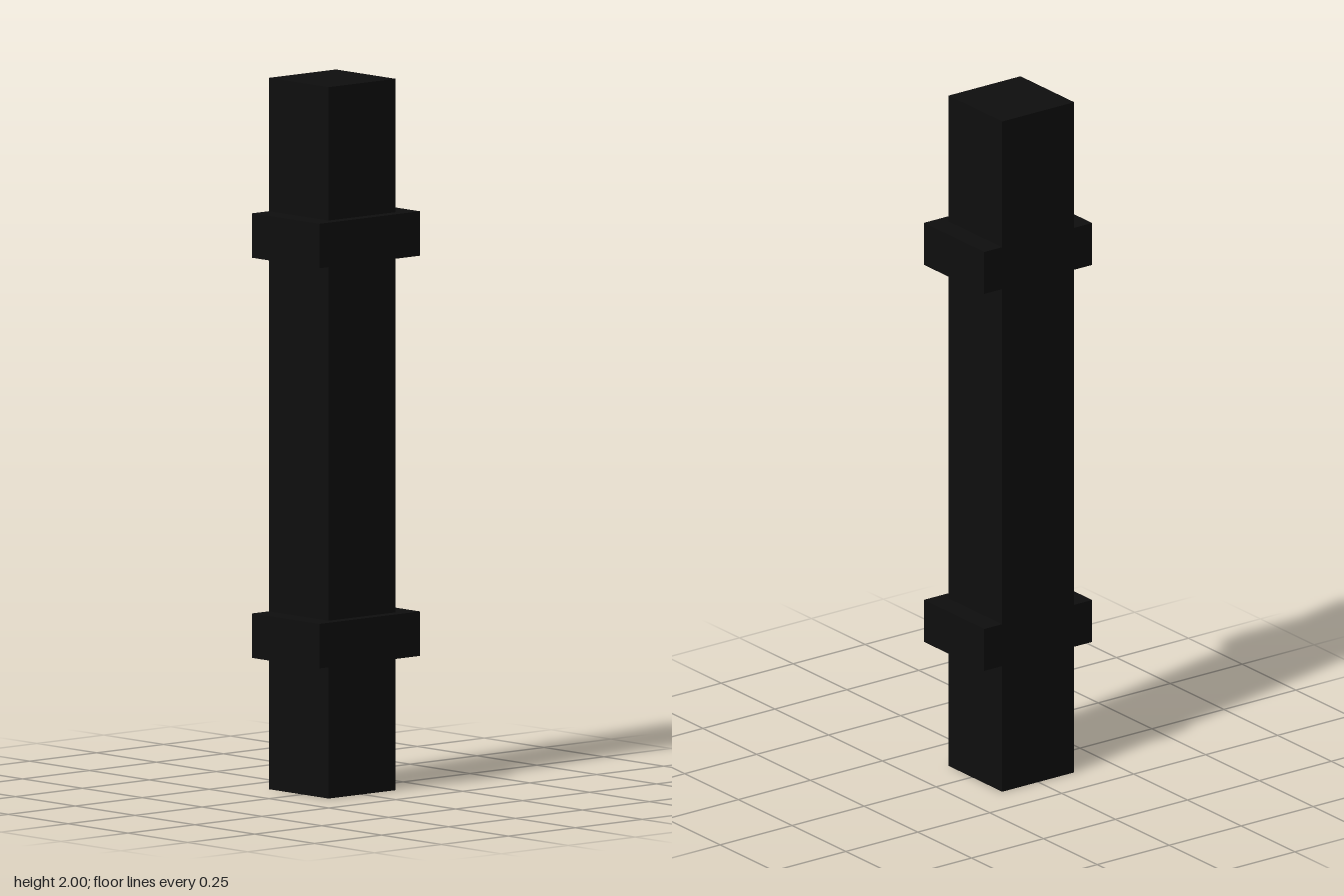
import * as THREE from 'three';

export function createModel() {
  const model = new THREE.Group();
  const black = new THREE.MeshStandardMaterial({ color: 0x0e0e0e });
  black.name = 'black';

  const addBox = (name, w, h, d, y, z) => {
    const mesh = new THREE.Mesh(new THREE.BoxGeometry(w, h, d), black);
    mesh.name = name;
    mesh.position.set(0, y, z);
    model.add(mesh);
  };

  // Square post, set back so its rear face is flush with the bands
  addBox('post', 0.25, 2, 0.25, 1, -0.0156);

  // Two bands standing proud at the front and sides
  addBox('lowerBand', 0.375, 0.125, 0.2812, 0.4375, 0);
  addBox('upperBand', 0.375, 0.125, 0.2812, 1.5625, 0);

  return model;
}
